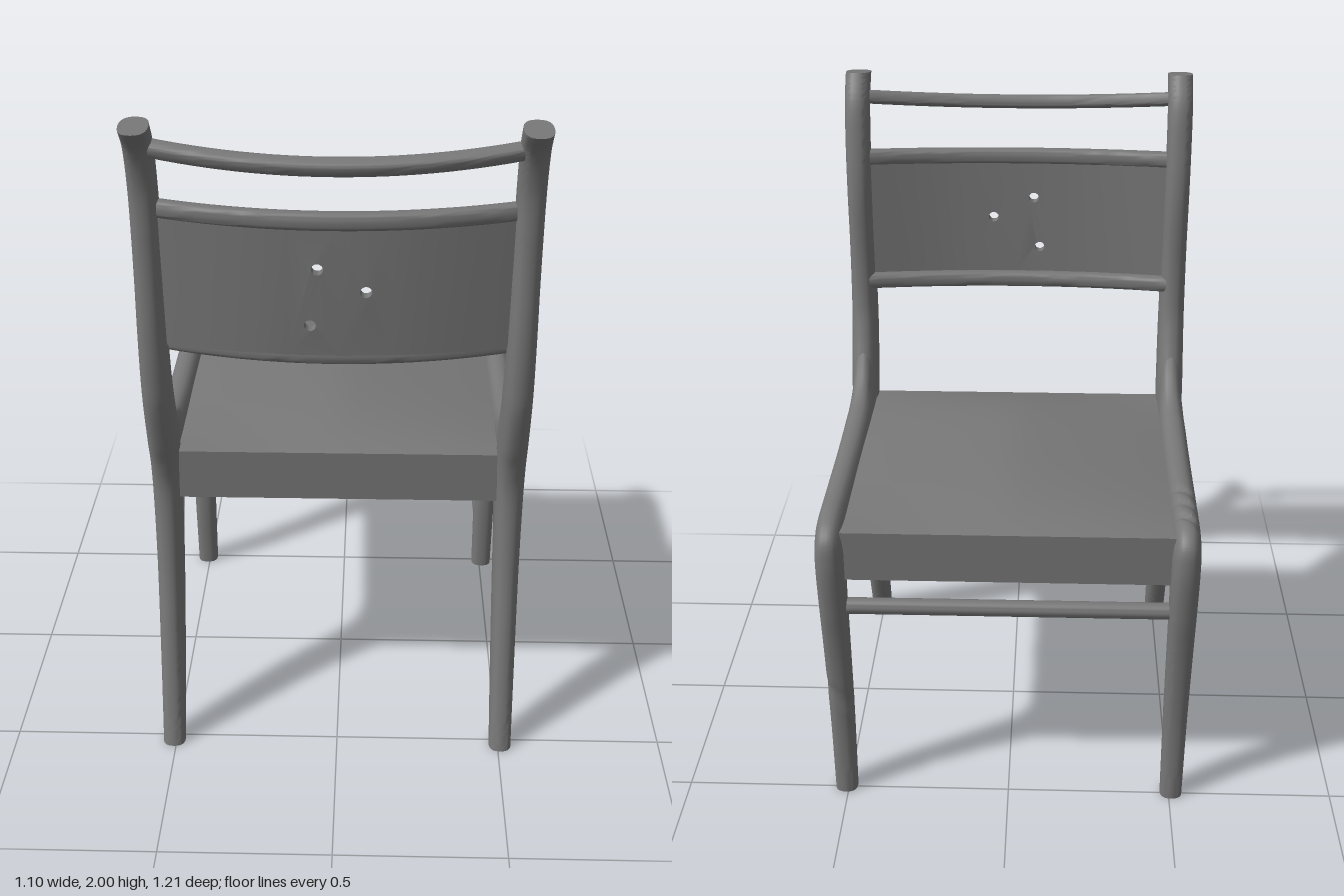
import * as THREE from 'three';
import { mergeGeometries, toCreasedNormals } from 'three/addons/utils/BufferGeometryUtils.js';

const material = new THREE.MeshStandardMaterial({ color: 0x777777 });
const HALF = 0.47; // half the clear width between the side frames

// Move every vertex by a rule, then recompute smooth normals with sharp creases
function reshape(geometry, rule) {
  const pos = geometry.attributes.position;
  const v = new THREE.Vector3();
  for (let i = 0; i < pos.count; i++) {
    rule(v.fromBufferAttribute(pos, i));
    pos.setXYZ(i, v.x, v.y, v.z);
  }
  geometry.computeVertexNormals();
  return toCreasedNormals(geometry, 0.7);
}

function add(group, name, geometry) {
  const mesh = new THREE.Mesh(geometry, material);
  mesh.name = name;
  group.add(mesh);
  return mesh;
}

// Each row is one cross-section: outer edge z, y and inner edge z, y
const POST = [
  [0.555, 0, 0.485, 0], [0.523, 0.15, 0.43, 0.15], [0.475, 0.39, 0.352, 0.39], [0.437, 0.6, 0.3, 0.6],
  [0.416, 0.84, 0.285, 0.82], [0.43, 0.93, 0.287, 0.95], [0.46, 1.015, 0.312, 1.06], [0.5, 1.16, 0.352, 1.17],
  [0.509, 1.25, 0.375, 1.25], [0.513, 1.4, 0.39, 1.395], [0.506, 1.66, 0.395, 1.635], [0.512, 1.82, 0.416, 1.79],
  [0.548, 1.925, 0.448, 1.925], [0.605, 1.985, 0.495, 2],
];
const RAIL_AND_LEG = [
  [0.335, 1.12, 0.318, 0.53], [0.29, 1.065, 0.285, 0.67], [0.246, 1.03, 0.262, 0.77], [0.19, 1.005, 0.22, 0.825],
  [0.13, 0.997, 0.156, 0.844], [0.03, 0.99, 0.03, 0.843], [-0.12, 0.988, -0.12, 0.839], [-0.27, 0.99, -0.27, 0.836],
  [-0.4, 0.992, -0.39, 0.833], [-0.48, 0.993, -0.43, 0.828], [-0.55, 0.98, -0.453, 0.815],
  [-0.59, 0.945, -0.464, 0.79], [-0.6, 0.875, -0.47, 0.755], [-0.583, 0.71, -0.471, 0.69],
  [-0.565, 0.6, -0.469, 0.6], [-0.55, 0.495, -0.464, 0.495], [-0.53, 0.28, -0.453, 0.28], [-0.527, 0, -0.458, 0],
];

const SIDES = 24;
const STEPS = 12;
const rounded = (t, power) => Math.sign(t) * Math.abs(t) ** power;

// Half thickness in x: slim feet, fullest at the seat, slightly slimmer post tops
const halfThickness = (y) => (y < 1 ? 0.034 + 0.0095 * y : 0.0435 - 0.0045 * Math.min(1, (y - 1) * 2));

// Closed limb lofted through rounded cross-sections
function limb(rows) {
  const edge = (k) => new THREE.CatmullRomCurve3(rows.map((r) => new THREE.Vector3(0, r[k + 1], r[k])))
    .getPoints((rows.length - 1) * STEPS);
  const outer = edge(0), inner = edge(2);
  const last = outer.length - 1;
  const positions = [], index = [];
  outer.forEach((p, i) => {
    const mid = p.clone().add(inner[i]).multiplyScalar(0.5);
    const arm = p.clone().sub(mid);
    for (let j = 0; j < SIDES; j++) {
      const a = (j / SIDES) * Math.PI * 2;
      const v = mid.clone().addScaledVector(arm, rounded(Math.cos(a), 0.8));
      v.x = rounded(Math.sin(a), 0.8) * halfThickness(mid.y);
      positions.push(v.x, v.y, v.z);
      if (i < last) {
        const n = (j + 1) % SIDES, r0 = i * SIDES, r1 = r0 + SIDES;
        index.push(r0 + j, r0 + n, r1 + n, r0 + j, r1 + n, r1 + j);
      }
    }
  });
  // Flat end caps
  for (let j = 1; j < SIDES - 1; j++) {
    const e = last * SIDES;
    index.push(0, j + 1, j, e, e + j, e + j + 1);
  }
  const g = new THREE.BufferGeometry();
  g.setAttribute('position', new THREE.Float32BufferAttribute(positions, 3));
  g.setIndex(index);
  return g;
}

const dent = (d, width) => Math.exp(-((d / width) ** 2));

function sideFrame(side) {
  const frame = new THREE.Group();
  frame.name = side > 0 ? 'leftSideFrame' : 'rightSideFrame';
  add(frame, 'rearLegAndPost', reshape(limb(POST), () => {}));
  add(frame, 'seatRailAndFrontLeg', reshape(limb(RAIL_AND_LEG), (v) => {
    if (side < 0 && v.y > 0.93) {
      // Three slanted grooves on the right front corner
      for (const c of [-0.485, -0.405, -0.328]) v.y -= 0.01 * dent(v.z - c - v.x * 0.7, 0.014);
    }
    // Nick in the left front leg
    if (side > 0 && v.z < -0.49 && v.y < 0.6) v.z += 0.01 * dent(v.y - 0.37 - v.x, 0.022);
  }));
  frame.position.x = side * 0.507;
  return frame;
}

// Cross bar with a rounded section, bowed backward and lifted at its ends
function crossBar({ z, y, rz, ry, tilt = 0, bow = 0, sag = 0, power = 0.6 }) {
  const pts = [];
  for (let i = 0; i < SIDES; i++) {
    const a = (i / SIDES) * Math.PI * 2;
    const p = new THREE.Vector2(rounded(Math.cos(a), power) * rz, rounded(Math.sin(a), power) * ry);
    pts.push(p.rotateAround(new THREE.Vector2(), tilt).add(new THREE.Vector2(z, y)));
  }
  const depth = 2 * HALF + 0.03;
  const g = new THREE.ExtrudeGeometry(new THREE.Shape(pts), { depth, steps: 24, bevelEnabled: false });
  g.rotateY(-Math.PI / 2);
  g.translate(depth / 2, 0, 0);
  return reshape(g, (v) => {
    const t = (v.x / HALF) ** 2;
    v.z -= bow * t;
    v.y += sag * t;
  });
}

// Curved back panel in upright strips, pierced by three small holes
function backPanel() {
  const holes = [[-0.05, 1.6], [0.08, 1.535], [-0.07, 1.435]];
  const edges = [-0.475, -0.36, -0.24, -0.13, 0.01, 0.15, 0.25, 0.36, 0.475];
  const y0 = 1.345, y1 = 1.735;
  const strips = edges.slice(1).map((x1, i) => {
    const x0 = edges[i];
    const shape = new THREE.Shape([[x0, y0], [x1, y0], [x1, y1], [x0, y1]].map((p) => new THREE.Vector2(...p)));
    for (const [hx, hy] of holes) {
      if (hx > x0 && hx < x1) shape.holes.push(new THREE.Path().absarc(hx, hy, 0.016, 0, Math.PI * 2, true));
    }
    return new THREE.ExtrudeGeometry(shape, { depth: 0.032, bevelEnabled: false, curveSegments: 14 });
  });
  return reshape(mergeGeometries(strips), (v) => {
    v.z += 0.491 + 0.014 * (v.y - y0) / (y1 - y0) - 0.06 * (v.x / HALF) ** 2;
  });
}

// Seat board, gently domed from edge to middle
function seatBoard() {
  const g = new THREE.BoxGeometry(2 * HALF + 0.01, 0.03, 0.93, 20, 1, 20);
  return reshape(g, (v) => {
    const dome = (1 - (Math.abs(v.x) / 0.475) ** 1.4) * (1 - (Math.abs(v.z) / 0.465) ** 3);
    v.y += 0.942 + 0.058 * dome;
    v.z -= 0.085;
  });
}

export function createModel() {
  const chair = new THREE.Group();
  chair.name = 'chair';

  chair.add(sideFrame(1), sideFrame(-1));

  // Seat board on a front and a rear apron
  add(chair, 'seat', seatBoard());
  for (const [name, z] of [['frontApron', -0.536], ['rearApron', 0.366]]) {
    add(chair, name, new THREE.BoxGeometry(2 * HALF + 0.01, 0.152, 0.028)).position.set(0, 0.878, z);
  }

  // Stretcher between the front legs
  add(chair, 'frontStretcher', crossBar({ z: -0.525, y: 0.697, rz: 0.023, ry: 0.024, power: 0.9 }));

  // Backrest
  add(chair, 'topRail', crossBar({ z: 0.568, y: 1.896, rz: 0.024, ry: 0.021, tilt: -0.35, bow: 0.057, sag: 0.026 }));
  add(chair, 'upperBackRail', crossBar({ z: 0.521, y: 1.733, rz: 0.023, ry: 0.024, bow: 0.06, sag: 0.009 }));
  add(chair, 'lowerBackRail', crossBar({ z: 0.481, y: 1.329, rz: 0.024, ry: 0.024, bow: 0.06, sag: 0.01 }));
  add(chair, 'backPanel', backPanel());

  return chair;
}
